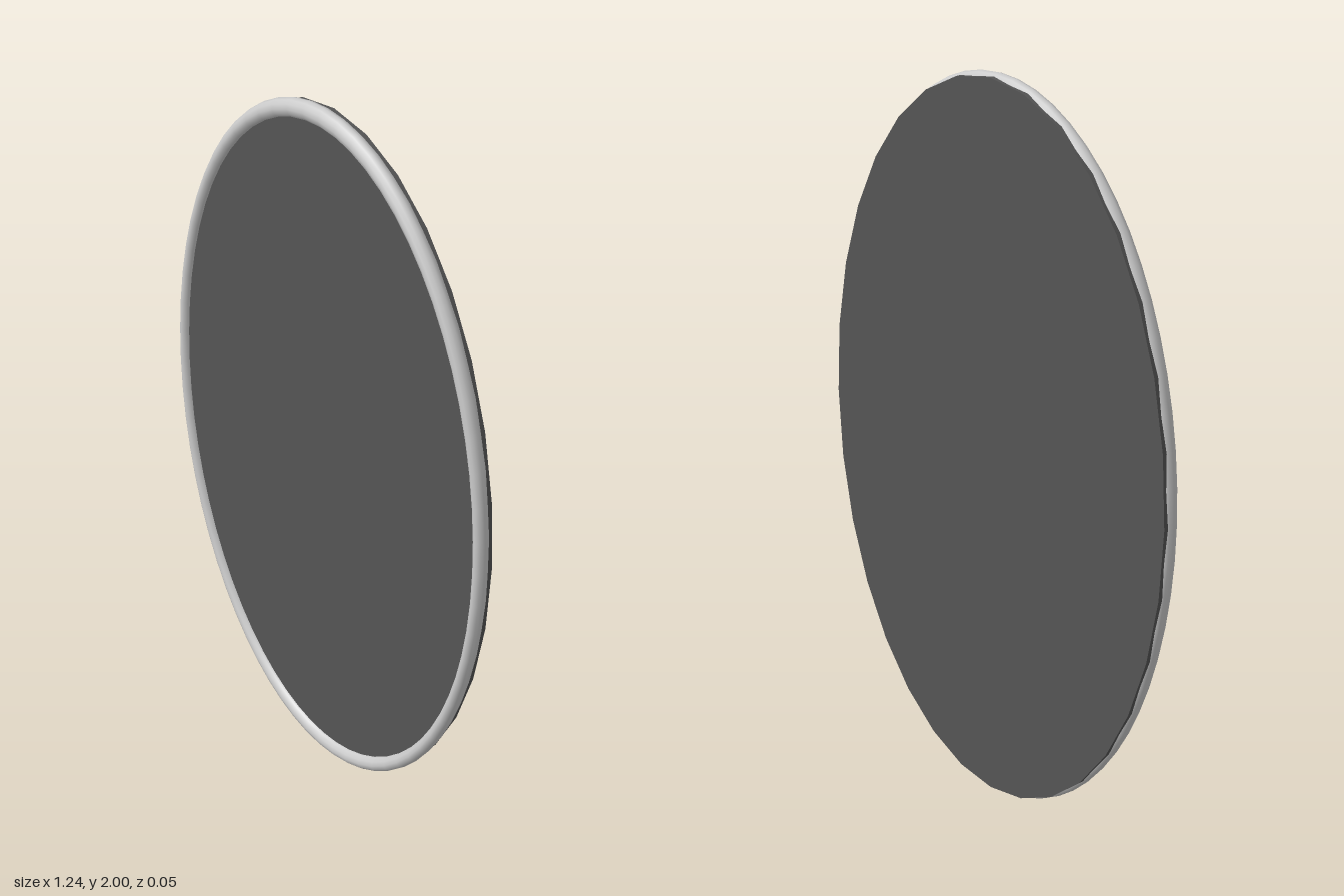
import * as THREE from 'three';

const WIDTH_RATIO = 0.622; // oval width relative to its height

export function createModel() {
  const model = new THREE.Group();
  model.name = 'ovalMirror';

  // rounded rim, a ring squeezed into an oval
  const rim = new THREE.Mesh(
    new THREE.TorusGeometry(0.975, 0.025, 12, 64),
    new THREE.MeshStandardMaterial({ color: 0xcccccc })
  );
  rim.name = 'frame';
  rim.scale.set(WIDTH_RATIO, 1, 0.88);
  rim.position.set(0, 1, 0.003);
  model.add(rim);

  // dark oval plate: its front is the mirror face, its back closes the frame
  const front = 0.008, back = -0.025;
  const plateShape = new THREE.CylinderGeometry(0.992, 0.992, front - back, 32);
  plateShape.rotateX(Math.PI / 2);
  const plate = new THREE.Mesh(plateShape, new THREE.MeshStandardMaterial({ color: 0x555555 }));
  plate.name = 'mirrorPlate';
  plate.scale.x = WIDTH_RATIO;
  plate.position.set(0, 1, (front + back) / 2);
  model.add(plate);

  return model;
}
